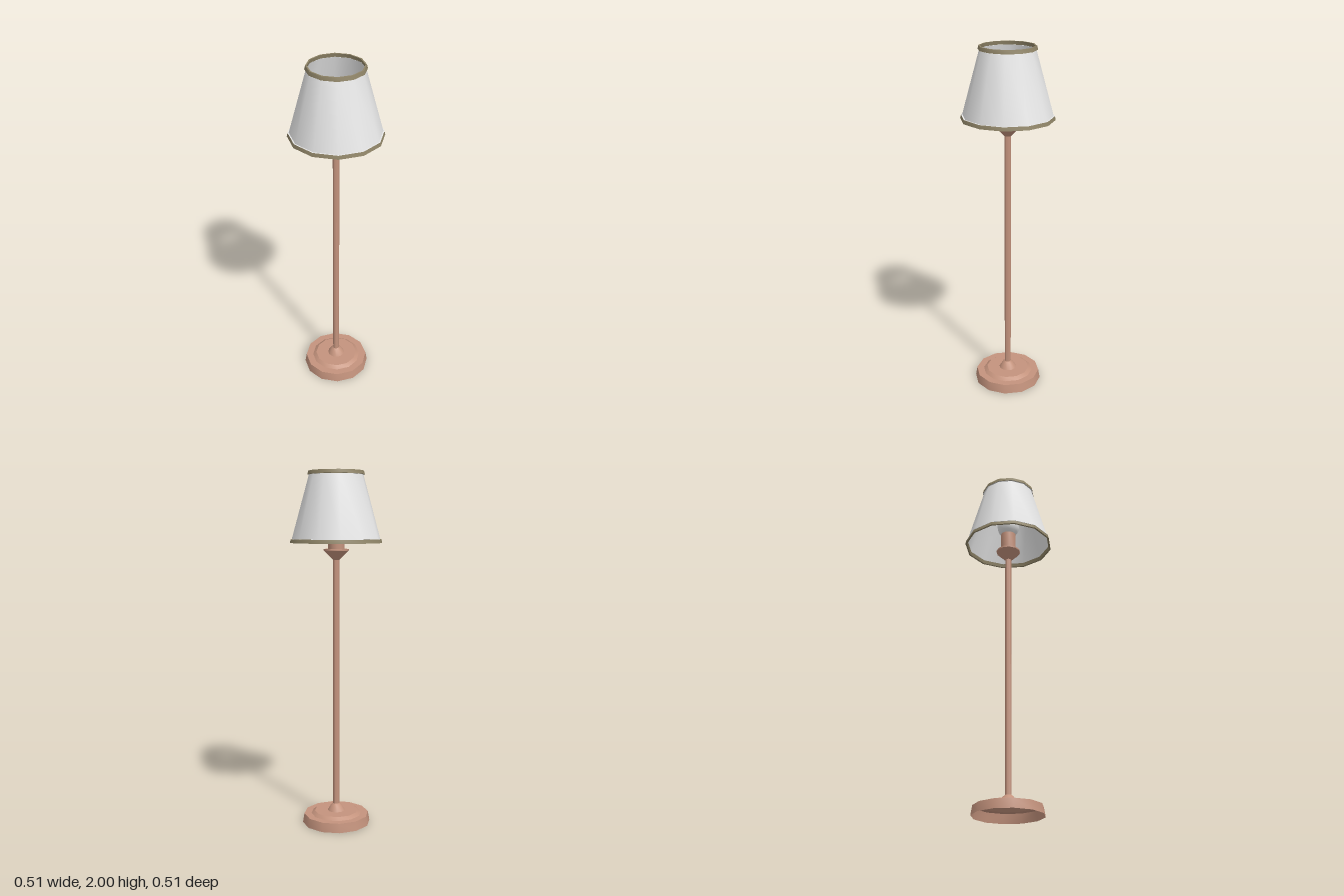
import * as THREE from 'three';
import { toCreasedNormals } from 'three/addons/utils/BufferGeometryUtils.js';

const SIDES = 12;

function material(name, color, side = THREE.DoubleSide) {
  const m = new THREE.MeshStandardMaterial({ color, side });
  m.name = name;
  return m;
}

export function createModel() {
  const lamp = new THREE.Group();
  lamp.name = 'floorLamp';
  const copper = material('copper', 0xc4937d);
  const white = material('white', 0xececec);
  const olive = material('oliveTrim', 0x8f8467);

  // Turned part from [radius, height] pairs, listed upwards on the outside
  function turned(name, profile, mat) {
    const points = profile.map(([r, y]) => new THREE.Vector2(r, y));
    const geometry = toCreasedNormals(new THREE.LatheGeometry(points, SIDES), 0.6);
    const mesh = new THREE.Mesh(geometry, mat);
    mesh.name = name;
    lamp.add(mesh);
  }

  // Stepped base, hollow underneath
  turned('base', [
    [0.195, 0], [0.186, 0.052], [0.145, 0.052], [0.124, 0.068],
    [0.05, 0.068], [0.03, 0.1], [0.017, 0.11],
  ], copper);

  turned('pole', [[0.018, 0.068], [0.018, 1.53]], copper);

  // Flared cup and bulb socket
  turned('cup', [
    [0.017, 1.515], [0.07, 1.568], [0.07, 1.577], [0.045, 1.577],
  ], copper);
  turned('socket', [[0.045, 1.577], [0.045, 1.69], [0, 1.69]], copper);

  // Bulb
  const bulb = new THREE.Mesh(new THREE.SphereGeometry(0.066, SIDES, 10), white);
  bulb.name = 'bulb';
  bulb.position.y = 1.745;
  lamp.add(bulb);

  // Shade wall with small ledges meeting the trims
  turned('shade', [
    [0.253, 1.631], [0.246, 1.631], [0.15, 1.979], [0.157, 1.979],
  ], white);

  // Trim rings wrapping both edges of the shade
  turned('bottomTrim', [
    [0.257, 1.61], [0.252, 1.63], [0.243, 1.63], [0.247, 1.61], [0.257, 1.61],
  ], olive);
  turned('topTrim', [
    [0.158, 1.98], [0.153, 2], [0.145, 2], [0.149, 1.98], [0.158, 1.98],
  ], olive);

  return lamp;
}
